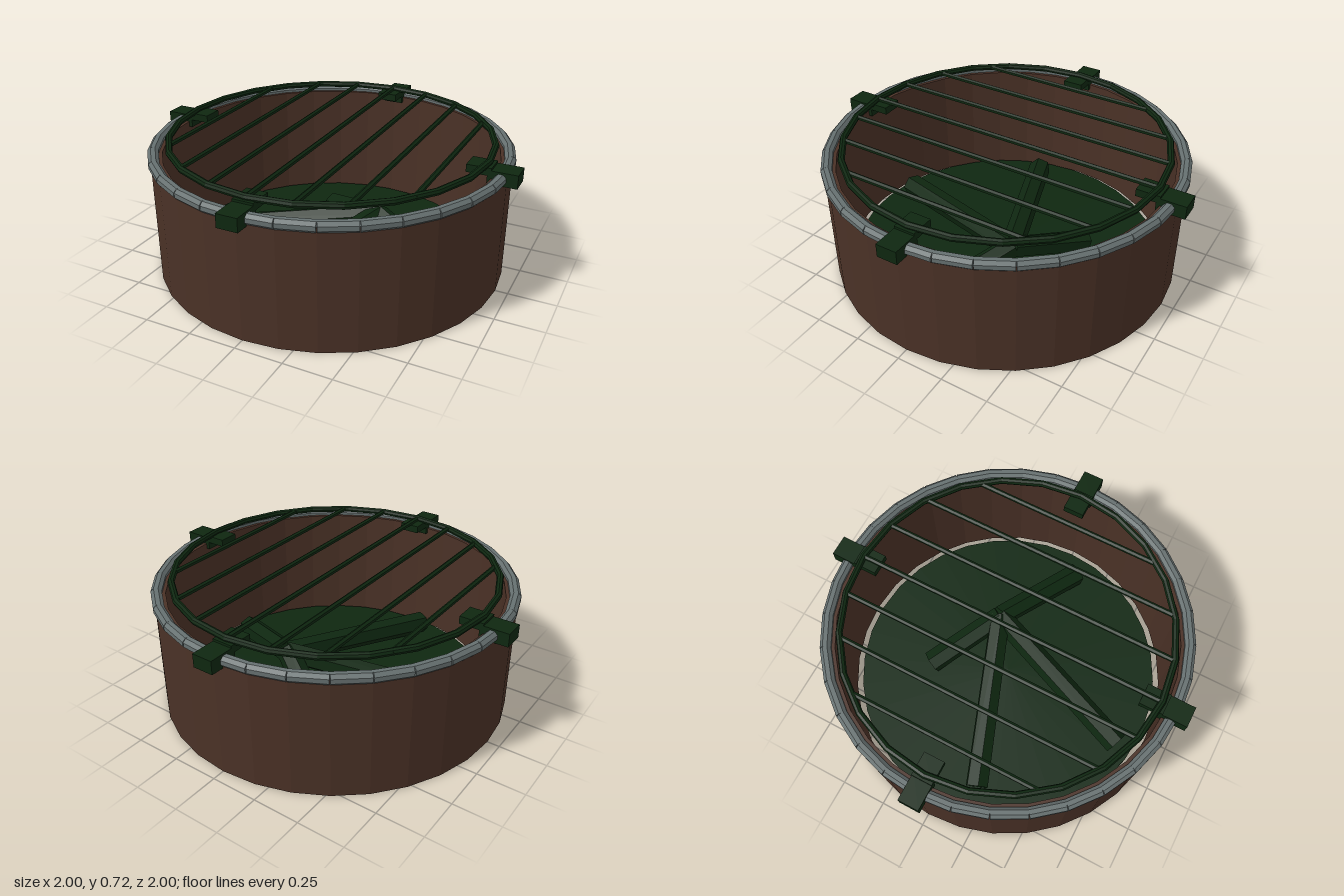
import * as THREE from 'three';

export function createModel() {
  const group = new THREE.Group();
  const material = (name, color, options = {}) => {
    const m = new THREE.MeshStandardMaterial({ color, ...options });
    m.name = name;
    return m;
  };
  const brown = material('brown wall', 0x4a3126, { flatShading: true });
  const grey = material('grey rim', 0x667070, { flatShading: true });
  const green = material('dark green', 0x0e2710, { flatShading: true });

  const add = (name, geometry, mat, x = 0, y = 0, z = 0, parent = group) => {
    const mesh = new THREE.Mesh(geometry, mat);
    mesh.name = name;
    mesh.position.set(x, y, z);
    parent.add(mesh);
    return mesh;
  };

  // Hollow round wall, open at the top and bottom
  const wallProfile = [[0.875, 0], [0.935, 0], [0.935, 0.64], [0.875, 0.64], [0.875, 0]]
    .map(([r, y]) => new THREE.Vector2(r, y));
  add('wall', new THREE.LatheGeometry(wallProfile, 32), brown);

  // Floor plate, slightly smaller than the wall
  add('floor', new THREE.CylinderGeometry(0.84, 0.84, 0.025, 32), green, 0, 0.0125, 0);

  // Rim of straight pieces laid around the top edge
  const rim = new THREE.Group();
  rim.name = 'rim';
  group.add(rim);
  const pieces = 32, rimRadius = 0.916;
  const pieceGeometry = new THREE.CylinderGeometry(0.03, 0.03, 2 * rimRadius * Math.tan(Math.PI / pieces), 8);
  pieceGeometry.rotateY(Math.PI / 8);
  pieceGeometry.rotateX(Math.PI / 2);
  for (let i = 0; i < pieces; i++) {
    const a = ((i + 0.5) / pieces) * Math.PI * 2;
    const piece = add('rimPiece', pieceGeometry, grey,
      Math.cos(a) * rimRadius, 0.643, Math.sin(a) * rimRadius, rim);
    piece.rotation.y = -a;
  }

  // Grate: ring with parallel bars
  const ringRadius = 0.842, grateY = 0.7;
  const ring = new THREE.TorusGeometry(ringRadius, 0.018, 8, 24);
  ring.rotateX(Math.PI / 2);
  add('grateRing', ring, green, 0, grateY, 0);
  for (let i = -3; i <= 3; i++) {
    const x = i * 0.22;
    const length = 2 * Math.sqrt(ringRadius ** 2 - x ** 2);
    const bar = new THREE.CylinderGeometry(0.014, 0.014, length, 6);
    bar.rotateX(Math.PI / 2);
    add('grateBar', bar, green, x, grateY, 0);
  }

  // Four brackets: an outer block on the rim and an inner tab under the grate
  for (let i = 0; i < 4; i++) {
    const bracket = new THREE.Group();
    bracket.name = 'bracket';
    bracket.rotation.y = (i * Math.PI) / 2;
    group.add(bracket);
    add('bracketBlock', new THREE.BoxGeometry(0.15, 0.07, 0.11), green, 0.925, 0.645, 0, bracket);
    add('bracketTab', new THREE.BoxGeometry(0.125, 0.04, 0.11), green, 0.8075, 0.672, 0, bracket);
  }

  // Logs leaning together inside
  const apex = new THREE.Vector3(0.21, 0.2, -0.16);
  for (const [x, z] of [[-0.18, -0.4], [-0.69, 0.17], [-0.12, 0.74], [0.71, 0.09]]) {
    const foot = new THREE.Vector3(x, 0.075, z);
    const direction = apex.clone().sub(foot);
    const log = add('log', new THREE.CylinderGeometry(0.06, 0.065, direction.length(), 6), green);
    log.position.copy(foot).addScaledVector(direction, 0.5);
    log.quaternion.setFromUnitVectors(new THREE.Vector3(0, 1, 0), direction.normalize());
  }
  return group;
}
